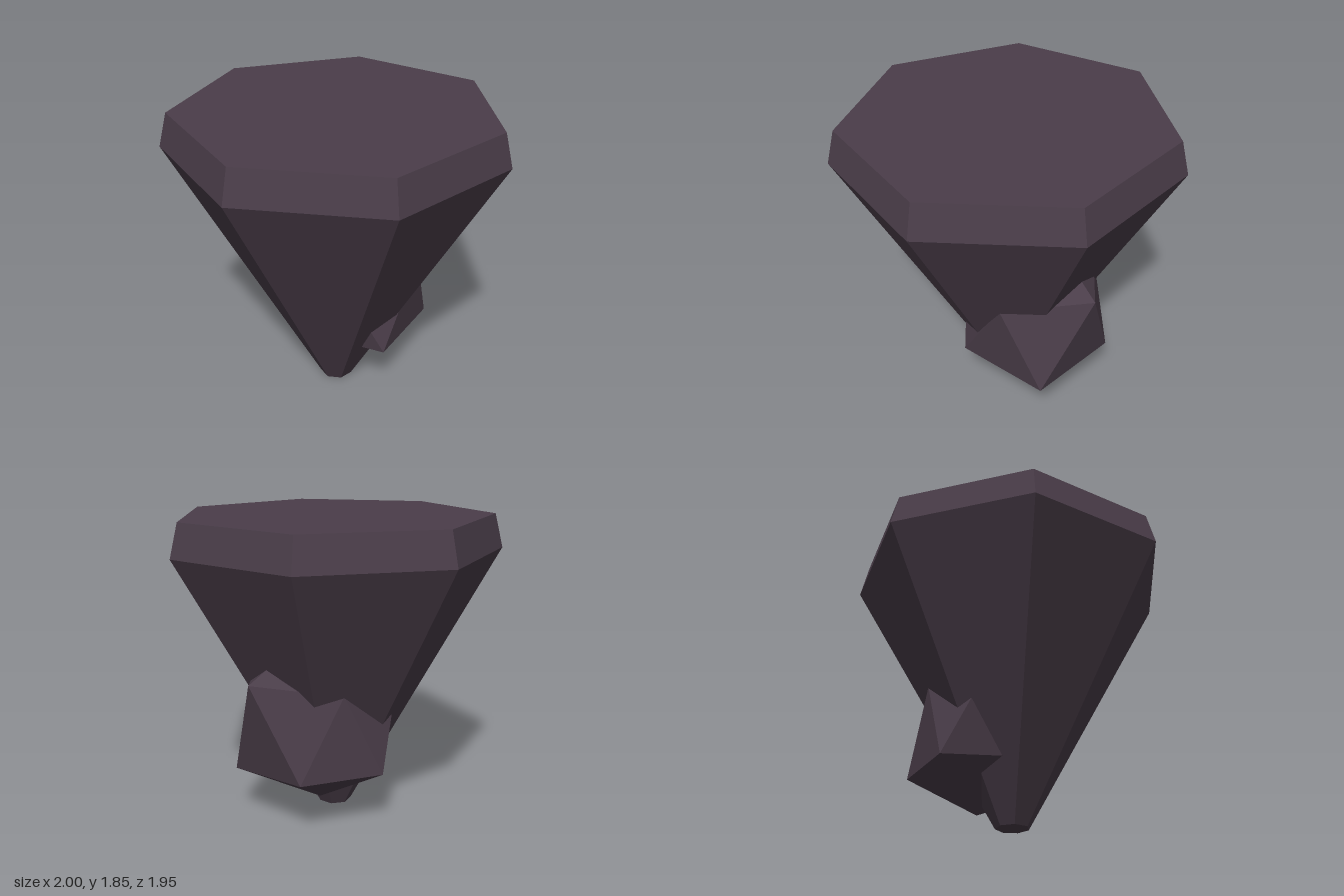
import * as THREE from 'three';
import { ConvexGeometry } from 'three/addons/geometries/ConvexGeometry.js';

export function createModel() {
  const group = new THREE.Group();
  const darkStone = new THREE.MeshStandardMaterial({ color: 0x4a3d49 });
  const SIDES = 7;
  const AXIS_Z = 0.05;

  // One flat-faced, seven-sided section; a corner points to the back
  function section(name, rTop, rBottom, y0, y1, open) {
    const geo = new THREE.CylinderGeometry(rTop, rBottom, y1 - y0, SIDES, 1, open).toNonIndexed();
    geo.computeVertexNormals();
    geo.rotateY(Math.PI);
    geo.translate(0, (y0 + y1) / 2, AXIS_Z);
    const mesh = new THREE.Mesh(geo, darkStone);
    mesh.name = name;
    group.add(mesh);
    return mesh;
  }

  // Tapered spike, widest just below the top
  section('taperedBody', 1.026, 0.103, 0, 1.645, true);
  // Chamfered rim
  section('rim', 0.975, 1.026, 1.645, 1.85, true);

  // Flat top and small bottom
  function cap(name, radius, y, up) {
    const geo = new THREE.CircleGeometry(radius, SIDES, Math.PI / 2);
    geo.rotateX(up ? -Math.PI / 2 : Math.PI / 2);
    if (!up) geo.rotateY(Math.PI);
    geo.translate(0, y, AXIS_Z);
    const mesh = new THREE.Mesh(geo, darkStone);
    mesh.name = name;
    group.add(mesh);
  }
  cap('topFace', 0.975, 1.85, true);
  cap('bottomTip', 0.103, 0, false);

  // Irregular twenty-sided boulder embedded in the lower body
  const corners = [
    [0.2, 0.1, -0.05],                                                    // bottom
    [0.62, 0.305, 0.256], [0.048, 0.316, 0.433], [-0.23, 0.36, -0.06],    // lower ring
    [0.06, 0.345, -0.48], [0.552, 0.345, -0.31],
    [0.72, 0.93, -0.05], [0.38, 0.84, 0.39], [-0.15, 0.8, 0.27],          // upper ring
    [-0.2, 0.9, -0.32], [0.288, 0.86, -0.391],
    [0.21, 1.21, -0.05],                                                  // top
  ].map((p) => new THREE.Vector3(...p));
  const boulder = new THREE.Mesh(new ConvexGeometry(corners), darkStone);
  boulder.name = 'boulder';
  group.add(boulder);

  return group;
}
